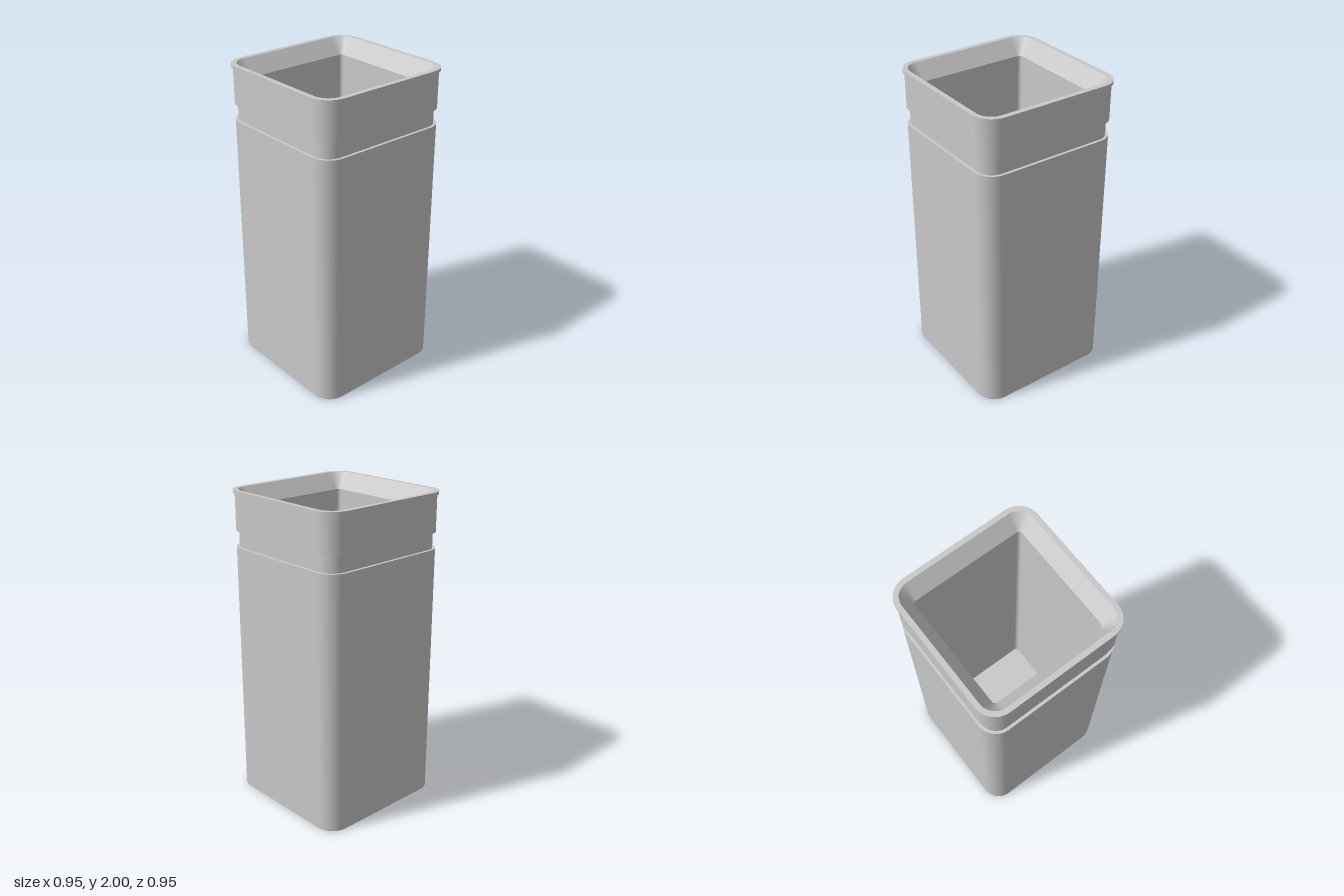
import * as THREE from 'three';

const CORNER = 0.345; // centre of every rounded corner
const STEPS = 10;     // facets per corner

// Sweeps a [halfWidth, y] profile round a rounded square, with sharp edges between bands.
function sweepProfile(profile) {
  const pos = [], nor = [], idx = [];
  const count = 4 * (STEPS + 1);
  for (let s = 0; s < profile.length - 1; s++) {
    const [h0, y0] = profile[s], [h1, y1] = profile[s + 1];
    const len = Math.hypot(h1 - h0, y1 - y0);
    const out = (y1 - y0) / len, up = (h0 - h1) / len;
    const base = pos.length / 3;
    for (const [h, y] of [profile[s], profile[s + 1]]) {
      const c = Math.min(CORNER, h), r = h - c;
      for (let q = 0; q < 4; q++) {
        const sx = q === 0 || q === 3 ? 1 : -1, sz = q < 2 ? 1 : -1;
        for (let i = 0; i <= STEPS; i++) {
          const a = (q + i / STEPS) * Math.PI / 2;
          const dx = Math.cos(a), dz = Math.sin(a);
          pos.push(sx * c + r * dx, y, sz * c + r * dz);
          nor.push(dx * out, up, dz * out);
        }
      }
    }
    for (let i = 0; i < count; i++) {
      const a = base + i, b = base + (i + 1) % count;
      const c = a + count, d = b + count;
      if (h0 > 0) idx.push(a, c, b);
      if (h1 > 0) idx.push(b, c, d);
    }
  }
  const geo = new THREE.BufferGeometry();
  geo.setAttribute('position', new THREE.Float32BufferAttribute(pos, 3));
  geo.setAttribute('normal', new THREE.Float32BufferAttribute(nor, 3));
  geo.setIndex(idx);
  return geo;
}

export function createModel() {
  const group = new THREE.Group();
  group.name = 'squareContainer';
  const grey = new THREE.MeshStandardMaterial({ color: 0xc8c8c8 });
  grey.name = 'light grey';

  const parts = {
    // base, tall wall and recessed groove
    outerBody: [[0, 0], [0.465, 0], [0.465, 1.65], [0.447, 1.65], [0.447, 1.75], [0.465, 1.75], [0.465, 1.98]],
    // thin projecting lip and flat top
    rim: [[0.465, 1.98], [0.475, 1.98], [0.475, 2], [0.443, 2]],
    // sloped mouth
    mouth: [[0.443, 2], [0.368, 1.9]],
    // straight inner walls and floor
    interior: [[0.368, 1.9], [0.368, 0.1], [0, 0.1]],
  };
  for (const [name, profile] of Object.entries(parts)) {
    const mesh = new THREE.Mesh(sweepProfile(profile), grey);
    mesh.name = name;
    group.add(mesh);
  }
  return group;
}
